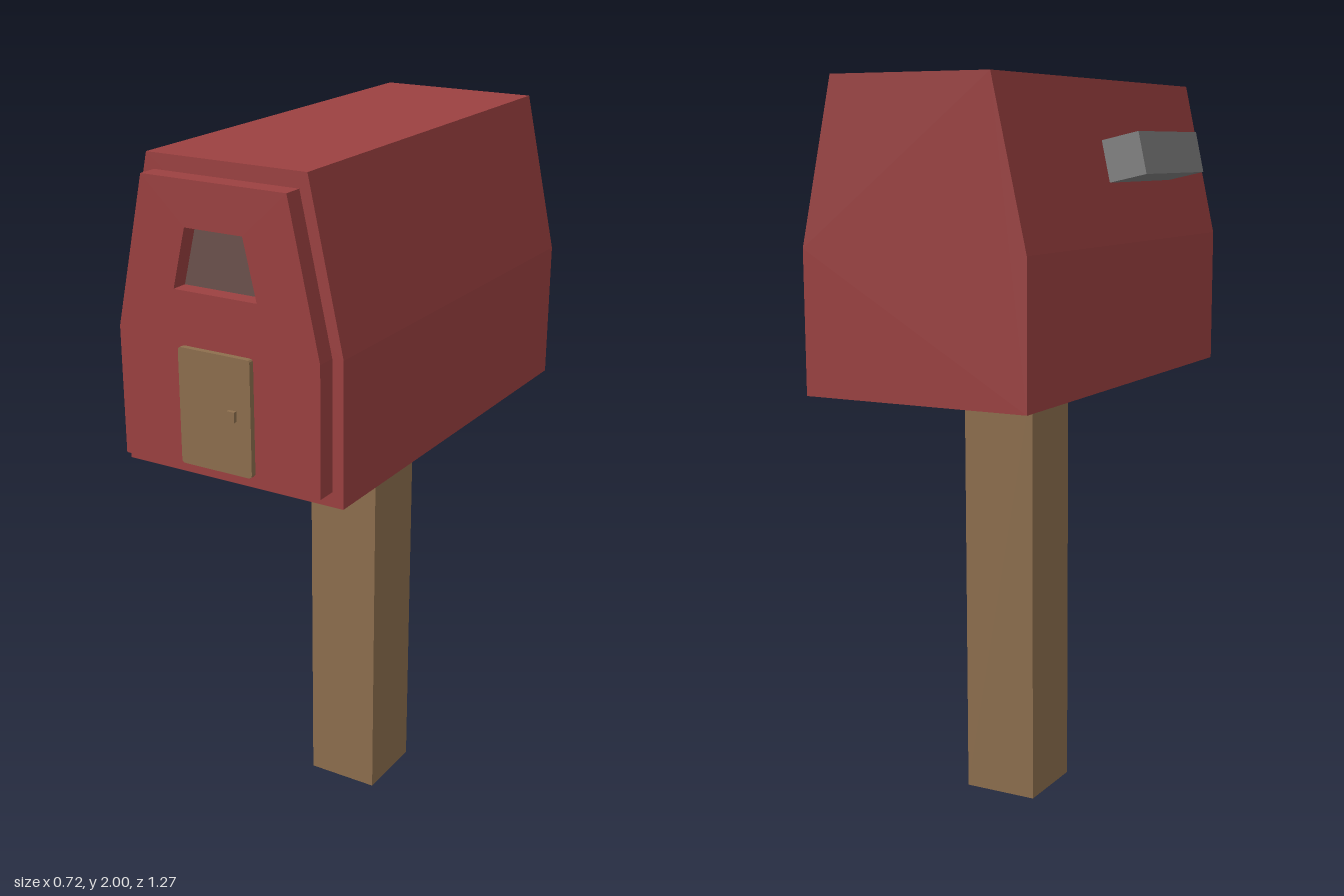
import * as THREE from 'three';

const mat = (name, color) => {
  const m = new THREE.MeshStandardMaterial({ color });
  m.name = name;
  return m;
};

// Closed shape from [x, y] pairs
const outline = (pts, Kind = THREE.Shape) => new Kind(pts.map(([x, y]) => new THREE.Vector2(x, y)));

// Six-sided barn profile, symmetric about x = cx
const barn = (cx, halfBase, halfTop, y0, yKink, y1) => [
  [cx - halfBase, y0], [cx + halfBase, y0], [cx + halfBase, yKink],
  [cx + halfTop, y1], [cx - halfTop, y1], [cx - halfBase, yKink],
];

export function createModel() {
  const red = mat('barn red', 0x9c4141);
  const wood = mat('wood brown', 0x8e6f4e);
  const grey = mat('flag grey', 0x808080);
  const glass = mat('window dark', 0x6c524c);

  const group = new THREE.Group();
  group.name = 'mailbox';
  const CX = 0.033;

  const add = (name, geometry, material, x = 0, y = 0, z = 0) => {
    const mesh = new THREE.Mesh(geometry, material);
    mesh.name = name;
    mesh.position.set(x, y, z);
    group.add(mesh);
    return mesh;
  };
  const slab = (name, shape, material, z0, z1) =>
    add(name, new THREE.ExtrudeGeometry(shape, { depth: z1 - z0, bevelEnabled: false, curveSegments: 3 }), material, 0, 0, z0);

  // Post
  add('post', new THREE.BoxGeometry(0.212, 1.2, 0.216), wood, CX, 0.6, -0.093);

  // Box body
  slab('body', outline(barn(CX, 0.323, 0.227, 1.19, 1.57, 2)), red, -0.635, 0.555);

  // Front panel with a window opening and a pane set back inside it
  const windowPts = [[-0.088, 1.69], [0.152, 1.69], [0.115, 1.845], [-0.05, 1.845]];
  const panel = outline(barn(CX, 0.292, 0.205, 1.23, 1.57, 1.96));
  panel.holes.push(outline(windowPts.slice().reverse(), THREE.Path));
  slab('frontPanel', panel, red, 0.555, 0.609);
  slab('windowPane', outline(windowPts), glass, 0.556, 0.563);

  // Small door with softened corners
  const door = new THREE.Shape();
  const [x0, x1, y0, y1, r] = [-0.071, 0.138, 1.248, 1.552, 0.01];
  door.moveTo(x0 + r, y0);
  door.lineTo(x1 - r, y0);
  door.quadraticCurveTo(x1, y0, x1, y0 + r);
  door.lineTo(x1, y1 - r);
  door.quadraticCurveTo(x1, y1, x1 - r, y1);
  door.lineTo(x0 + r, y1);
  door.quadraticCurveTo(x0, y1, x0, y1 - r);
  door.lineTo(x0, y0 + r);
  door.quadraticCurveTo(x0, y0, x0 + r, y0);
  slab('door', door, wood, 0.609, 0.625);
  add('doorKnob', new THREE.BoxGeometry(0.022, 0.027, 0.012), wood, 0.086, 1.403, 0.629);

  // Flag block square to the sloping wall
  const flag = add('flag', new THREE.BoxGeometry(0.108, 0.113, 0.396), grey, -0.295, 1.797, 0.093);
  flag.rotation.z = -0.219;

  return group;
}
